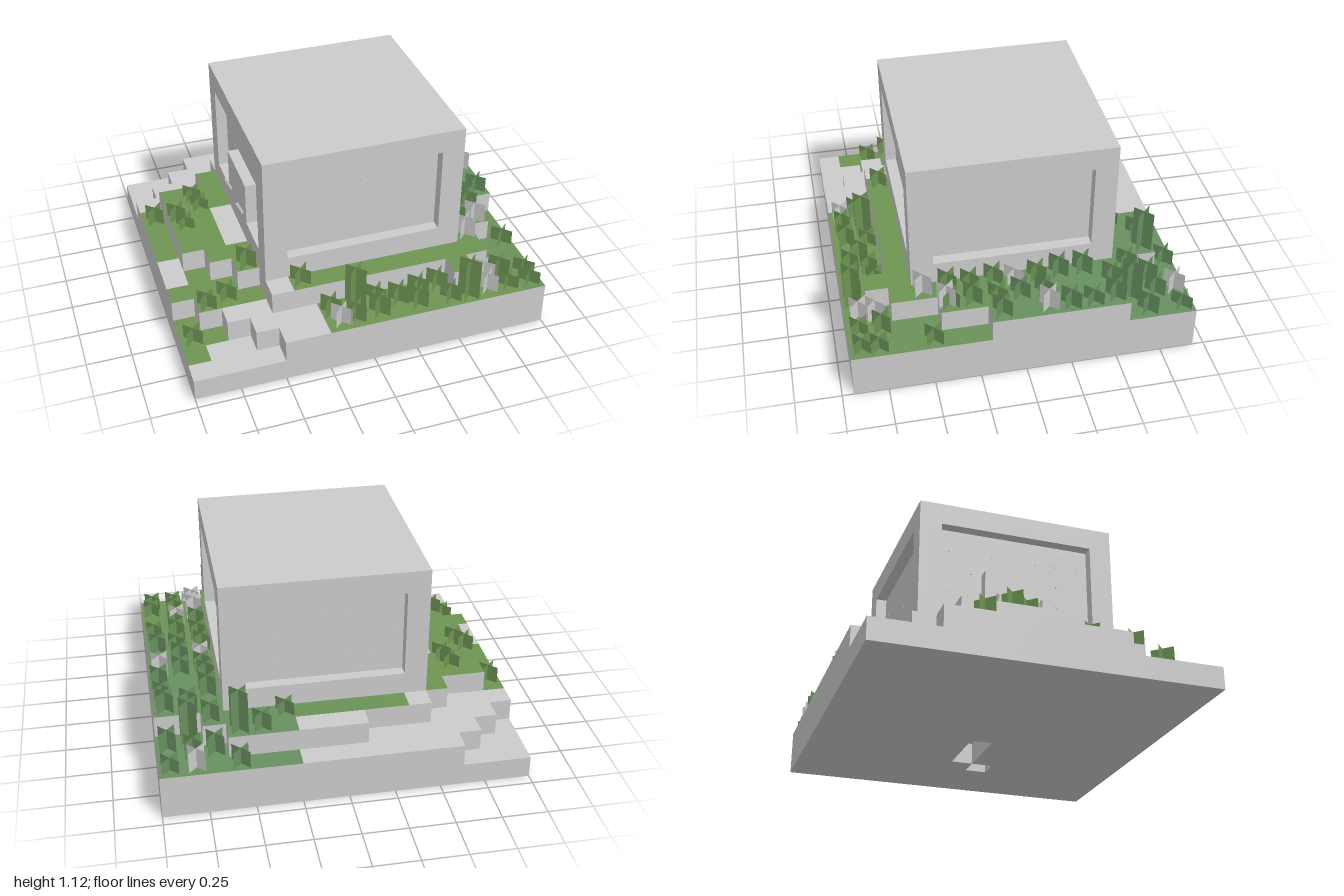
import * as THREE from 'three';
import { mergeGeometries } from 'three/addons/utils/BufferGeometryUtils.js';

const U = 0.125; // one block
const X0 = -1, Z0 = -0.9375;
const grey = new THREE.MeshStandardMaterial({ color: 0xcccccc });
const greyThin = new THREE.MeshStandardMaterial({ color: 0xcccccc, side: THREE.DoubleSide });
const greens = [0x6e9453, 0x6b9257, 0x679060].map(
  (color) => new THREE.MeshStandardMaterial({ color, side: THREE.DoubleSide }));

// Ground plan, back row first. 1-3: bare ground that many blocks high; a-c: same heights with grass.
const PLAN = [
  '1112222222bbbbbb',
  '1122222333cccbbb',
  '12223cccccccccbb',
  '222c333333333ccc',
  'bccc333333333ccc',
  'bccc333333333ccc',
  'bcc3333333333ccc',
  'bcc3333333333ccc',
  '2cc3333333333ccc',
  '2bcc333333333ccb',
  'bbbc333333333ccb',
  'abbb333333333cbb',
  'aa223cccccccccbb',
  'a11222bbbbbbcbbb',
  '111122bbbbbbbbbb',
];
// Pits in the underside, as column,row
const PITS = ['9,7', '10,7', '11,7', '12,8'];

function cell(i, j) {
  const c = PLAN[j]?.[i];
  if (!c) return { low: 0, high: 0, grass: false };
  const grass = c >= 'a';
  const high = (grass ? 'abc'.indexOf(c) + 1 : Number(c)) * U;
  return { low: PITS.includes(`${i},${j}`) ? U : 0, high, grass };
}

function tint(x, z) {
  const t = (x - z * 0.8 + 0.4) / 1.8;
  return Math.max(0, Math.min(2, Math.floor(t * 3)));
}

function addMerged(group, name, geometries, material) {
  if (!geometries.length) return;
  const mesh = new THREE.Mesh(mergeGeometries(geometries), material);
  mesh.name = name;
  group.add(mesh);
}

// Stepped block ground with grass on some tops
function makeGround() {
  const group = new THREE.Group();
  group.name = 'ground';
  const stone = [], grass = [[], [], []];
  const flat = (x, y, z, up) =>
    new THREE.PlaneGeometry(U, U).rotateX(up ? -Math.PI / 2 : Math.PI / 2).translate(x, y, z);
  PLAN.forEach((row, j) => {
    for (let i = 0; i < row.length; i++) {
      const me = cell(i, j);
      const x = X0 + (i + 0.5) * U, z = Z0 + (j + 0.5) * U;
      (me.grass ? grass[tint(x, z)] : stone).push(flat(x, me.high, z, true));
      stone.push(flat(x, me.low, z, false));
      for (const [dx, dz] of [[1, 0], [-1, 0], [0, 1], [0, -1]]) {
        const next = cell(i + dx, j + dz);
        const spans = [[Math.max(next.high, me.low), me.high]];
        if (next.high > 0) spans.push([me.low, next.low]);
        for (const [a, b] of spans) {
          if (b <= a) continue;
          stone.push(new THREE.PlaneGeometry(U, b - a).translate(0, 0, U / 2)
            .rotateY(Math.atan2(dx, dz)).translate(x, (a + b) / 2, z));
        }
      }
    }
  });
  addMerged(group, 'terraces', stone, grey);
  grass.forEach((list, k) => addMerged(group, 'grass', list, greens[k]));
  return group;
}

// Cube house: recessed core, four framed sides, studs, door block and levers
function makeHouse() {
  const group = new THREE.Group();
  group.name = 'house';
  group.position.set(U / 2, 3 * U, 0);
  const W = 9 * U, H = 6 * U, D = U / 2;
  const add = (name, geometry) => {
    const mesh = new THREE.Mesh(geometry, grey);
    mesh.name = name;
    group.add(mesh);
    return mesh;
  };
  add('core', new THREE.BoxGeometry(W - 2 * D, H, W - 2 * D).translate(0, H / 2, 0));

  const rect = (path, x, y0, y1) =>
    path.moveTo(-x, y0).lineTo(x, y0).lineTo(x, y1).lineTo(-x, y1).closePath();
  const shape = rect(new THREE.Shape(), W / 2, 0, H);
  shape.holes.push(rect(new THREE.Path(), W / 2 - U, U, H - U));
  const frame = new THREE.ExtrudeGeometry(shape, { depth: D, bevelEnabled: false })
    .translate(0, 0, W / 2 - D);
  const studs = [];
  for (let r = 0; r < 3; r++) {
    for (let c = -3; c <= 3; c++) {
      studs.push(new THREE.BoxGeometry(0.008, 0.008, 0.004)
        .translate(c * U, (r + 2) * U, W / 2 - D));
    }
  }
  const studRow = mergeGeometries(studs);
  for (let k = 0; k < 4; k++) {
    add('windowFrame', frame).rotation.y = k * Math.PI / 2;
    add('windowStuds', studRow).rotation.y = k * Math.PI / 2;
  }

  add('doorBlock', new THREE.BoxGeometry(D, 3 * U, 3 * U).translate(-W / 2 + D / 2, 1.5 * U, 0));
  for (const side of [-1, 1]) {
    const lever = add('lever', new THREE.BoxGeometry(0.013, 0.08, 0.013));
    lever.position.set(-W / 2 - 0.018, 0.19, side * U);
    lever.rotation.z = 0.42;
  }
  return group;
}

// Plants: two upright sheets crossing on the diagonals
function makePlants() {
  const group = new THREE.Group();
  group.name = 'plants';
  const lists = [[], [], [], []]; // three greens, then grey
  let seed = 7;
  const rand = () => (seed = (seed * 16807) % 2147483647) / 2147483647;
  const plant = (x, z, height = 0.1, pale = false) => {
    const i = Math.floor((x - X0) / U), j = Math.floor((z - Z0) / U);
    const y = cell(i, j).high;
    for (const a of [1, -1]) {
      lists[pale ? 3 : tint(x, z)].push(new THREE.PlaneGeometry(0.126, height)
        .rotateY(a * Math.PI / 4).translate(x, y + height / 2, z));
    }
  };

  // left garden
  for (const [x, z, h] of [
    [-0.7, -0.32, 0.075], [-0.83, -0.15, 0.09], [-0.8, -0.06, 0.07], [-0.68, -0.22, 0.07],
    [-0.56, 0.39, 0.11], [-0.93, -0.33, 0.1], [-0.7, 0.48, 0.09], [-0.82, 0.52, 0.09],
    [-0.93, 0.63, 0.09], [-0.32, 0.62, 0.09],
  ]) plant(x, z, h);

  // front strip
  for (const [x, z, h] of [
    [-0.2, 0.78, 0.11], [-0.05, 0.75, 0.25], [0.05, 0.86, 0.12], [0.07, 0.74, 0.08],
    [0.18, 0.8, 0.11], [0.27, 0.86, 0.11], [0.31, 0.76, 0.1], [0.43, 0.74, 0.1],
    [0.46, 0.87, 0.1], [-0.09, 0.87, 0.11], [0.56, 0.88, 0.25], [0.8, 0.87, 0.08],
    [0.94, 0.78, 0.08], [0.8, 0.75, 0.11], [0.93, 0.87, 0.08], [0.94, 0.49, 0.09],
  ]) plant(x, z, h);
  plant(-0.17, 0.87, 0.11, true);
  plant(0.68, 0.86, 0.11, true);
  plant(0.7, 0.77, 0.12, true);

  // right terrace, thickly planted
  for (let j = 3; j < 11; j++) {
    for (let i = 13; i < 16; i++) {
      if (cell(i, j).high < 3 * U || rand() < 0.25) continue;
      plant(X0 + (i + 0.4 + 0.2 * rand()) * U, Z0 + (j + 0.4 + 0.2 * rand()) * U,
        0.08 + 0.045 * rand(), (i + j * 2) % 9 === 0);
    }
  }
  plant(0.69, 0.51, 0.125, true);
  plant(0.8, 0.4, 0.12, true);

  // back right corner
  for (const [x, z, h] of [
    [0.56, -0.75, 0.25], [0.82, -0.62, 0.25], [0.94, -0.68, 0.12], [0.94, -0.87, 0.08],
    [0.81, -0.76, 0.11], [0.69, -0.75, 0.12], [0.7, -0.62, 0.1], [0.44, -0.75, 0.1],
    [0.57, -0.88, 0.1], [0.3, -0.63, 0.08],
  ]) plant(x, z, h);
  plant(0.8, -0.87, 0.12, true);

  lists.forEach((list, k) => addMerged(group, 'plantSheets', list, greens[k] ?? greyThin));
  return group;
}

export function createModel() {
  const model = new THREE.Group();
  model.name = 'cubeHouseOnTerraces';
  model.add(makeGround(), makeHouse(), makePlants());
  return model;
}
